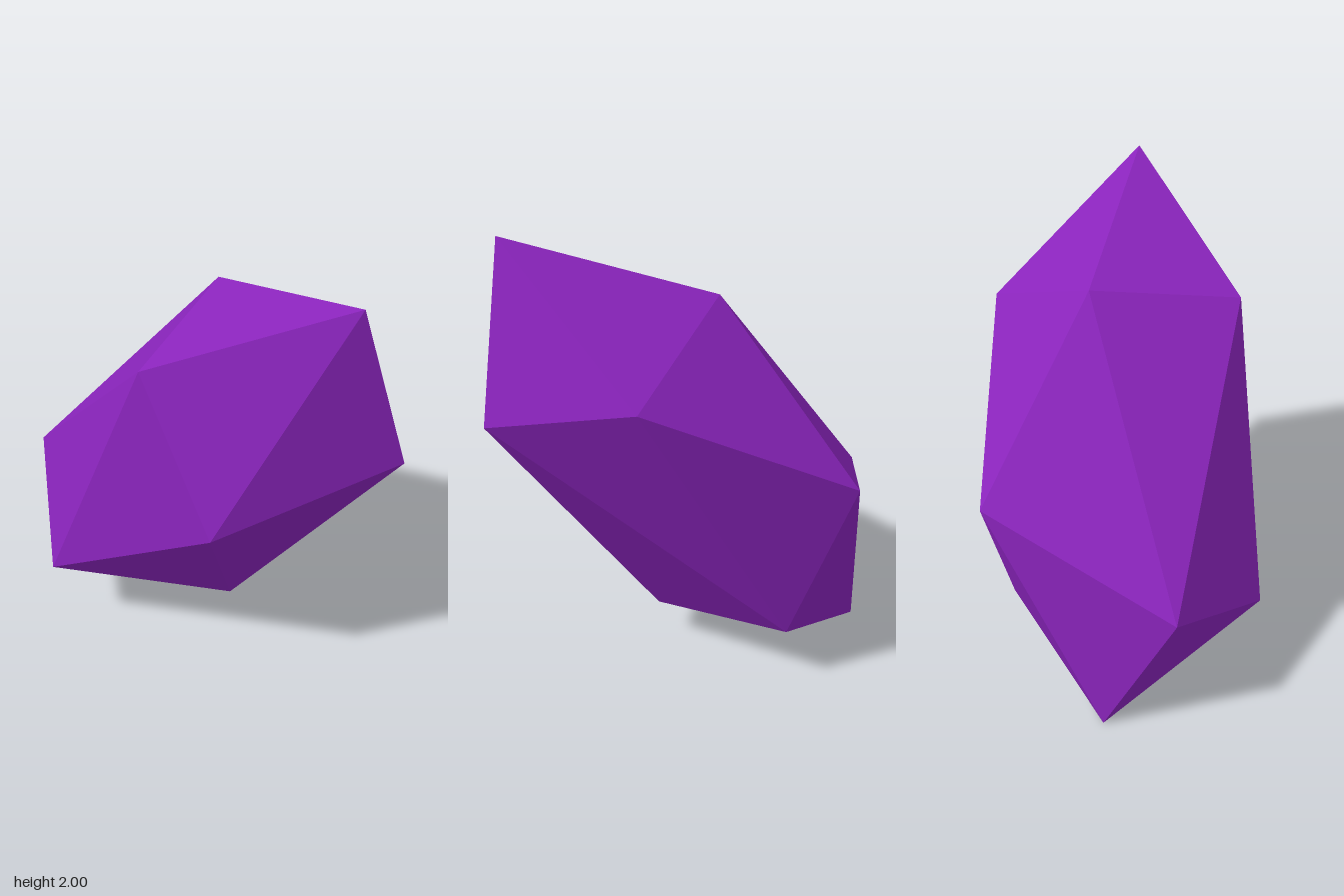
import * as THREE from 'three';

export function createModel() {
  const group = new THREE.Group();
  group.name = 'crystal';

  const purple = new THREE.MeshStandardMaterial({ color: 0x8a24bc });
  purple.name = 'purple';

  // Two tips with two staggered rings of five corners between them
  const top = [0, 2, 0.77];
  const bottom = [0.055, 0.005, -0.81];
  const upper = [
    [0.61, 1.46, 0.355], [0.19, 1.28, 0.89], [-0.445, 0.99, 0.45],
    [-0.46, 1.635, 0.08], [0.15, 1.74, -0.09],
  ];
  const lower = [
    [0.5, 0.29, -0.31], [0, 0.195, 0.145], [-0.61, 0.395, -0.41],
    [-0.25, 0.7, -0.89], [0.56, 0.99, -0.58],
  ];

  // Caps and zigzag band; unshared corners keep every facet flat
  const positions = [];
  const facet = (...corners) => corners.forEach((c) => positions.push(...c));
  for (let i = 0; i < 5; i++) {
    const j = (i + 1) % 5;
    facet(top, upper[j], upper[i]);
    facet(upper[i], upper[j], lower[i]);
    facet(lower[i], upper[j], lower[j]);
    facet(lower[i], lower[j], bottom);
  }

  const geometry = new THREE.BufferGeometry();
  geometry.setAttribute('position', new THREE.Float32BufferAttribute(positions, 3));
  geometry.computeVertexNormals();

  const gem = new THREE.Mesh(geometry, purple);
  gem.name = 'gem';
  group.add(gem);
  return group;
}
